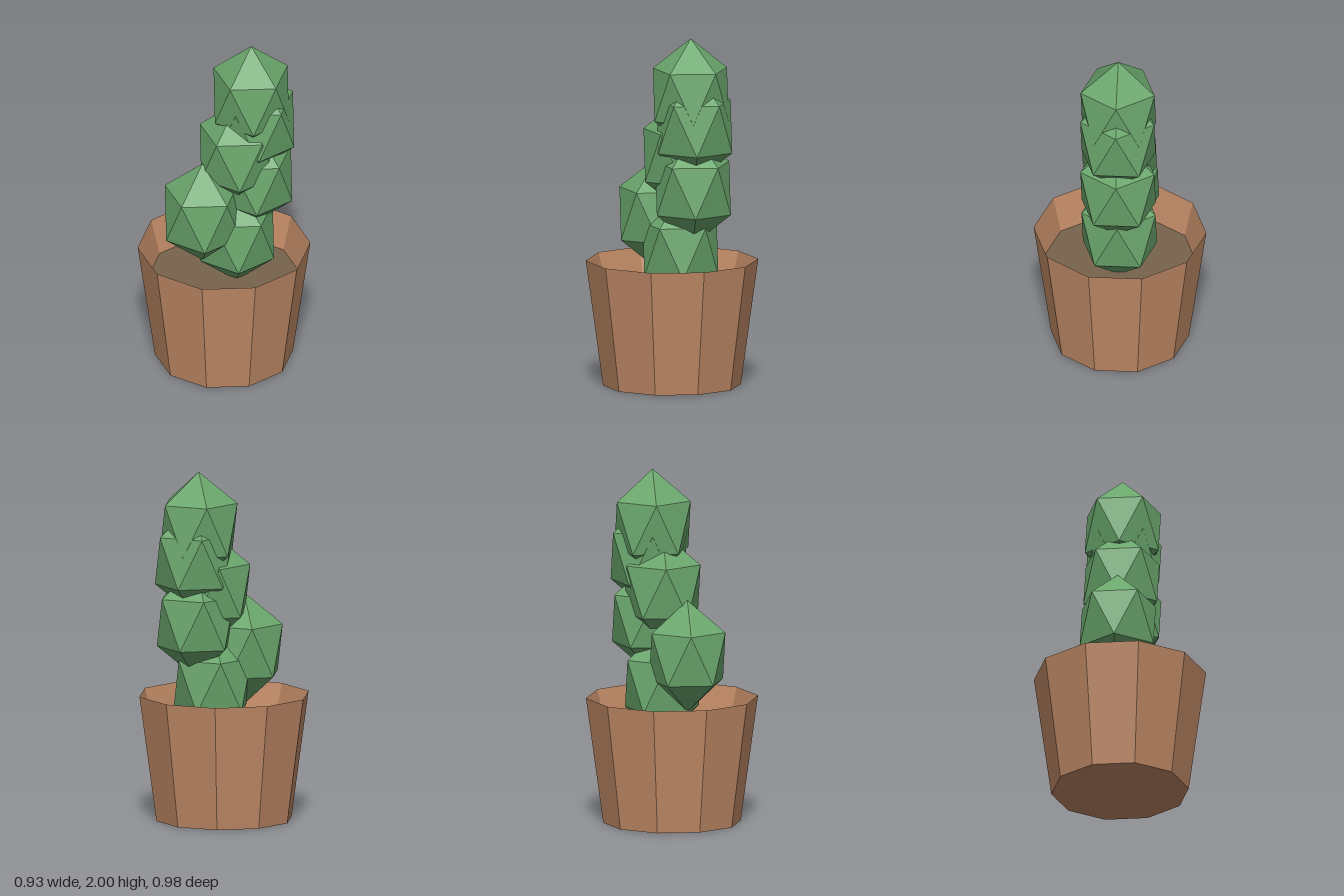
import * as THREE from 'three';

const material = (name, color) => {
  const m = new THREE.MeshStandardMaterial({ color });
  m.name = name;
  return m;
};

// Separate the faces so each one gets its own flat normal
function faceted(geometry) {
  const g = geometry.index ? geometry.toNonIndexed() : geometry;
  g.computeVertexNormals();
  return g;
}

export function createModel() {
  const model = new THREE.Group();
  model.name = 'pottedCactus';
  const clay = material('clay', 0xc08a66);
  const earth = material('earth', 0x78634c);
  const green = material('cactusGreen', 0x6aa66c);

  const SIDES = 10;
  const SOIL_Y = 0.51;
  const SOIL_R = 0.433;

  // Pot: base, flared outer wall, sharp rim and inner wall down to the soil
  const profile = [[0, 0], [0.39, 0], [0.488, 0.715], [SOIL_R, SOIL_Y]]
    .map(([r, y]) => new THREE.Vector2(r, y));
  const pot = new THREE.Mesh(faceted(new THREE.LatheGeometry(profile, SIDES)), clay);
  pot.name = 'pot';
  model.add(pot);

  // Soil disc, corners aligned with the pot
  const soilShape = new THREE.CircleGeometry(SOIL_R, SIDES, Math.PI / 2);
  soilShape.rotateX(-Math.PI / 2);
  const soil = new THREE.Mesh(soilShape, earth);
  soil.name = 'soil';
  soil.position.y = SOIL_Y;
  model.add(soil);

  // One cactus segment: icosahedron standing on a point, stretched upward
  const segment = new THREE.IcosahedronGeometry(1, 0);
  segment.rotateZ(-Math.atan(2 / (1 + Math.sqrt(5))));
  segment.scale(0.246, 0.32, 0.246);
  const segmentGeometry = faceted(segment);

  const cactus = new THREE.Group();
  cactus.name = 'cactus';
  const segments = [
    ['baseSegment', 0.075, 0.785],
    ['lowerSegment', 0.185, 1.145],
    ['upperSegment', 0.197, 1.5],
    ['topSegment', 0.165, 1.68],
    ['lowerBranch', -0.13, 0.965],
    ['upperBranch', 0.082, 1.325],
  ];
  for (const [name, x, y] of segments) {
    const mesh = new THREE.Mesh(segmentGeometry, green);
    mesh.name = name;
    mesh.position.set(x, y, 0);
    cactus.add(mesh);
  }
  model.add(cactus);

  return model;
}
